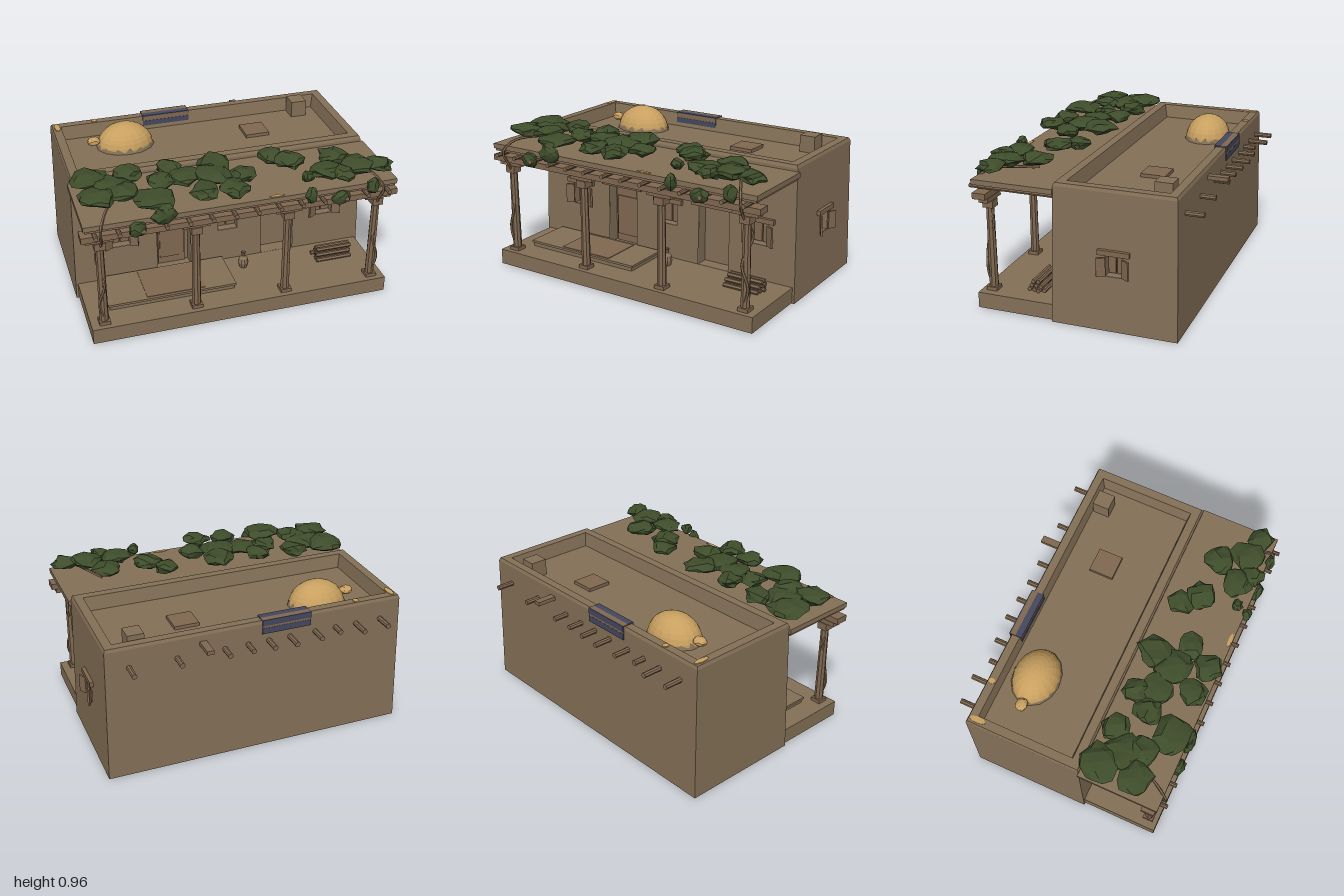
import * as THREE from 'three';
import { mergeVertices } from 'three/addons/utils/BufferGeometryUtils.js';

const mat = (name, color, flatShading = true) => {
  const m = new THREE.MeshStandardMaterial({ color, side: THREE.DoubleSide, flatShading });
  m.name = name;
  return m;
};

export function createModel() {
  const clay = mat('clay', 0x847057), wood = mat('wood', 0x806850);
  const straw = mat('straw', 0xc8a060), leaf = mat('leaf', 0x3e4d2b), cloth = mat('blue cloth', 0x45485f);
  const model = new THREE.Group();
  model.name = 'adobeHouse';

  let seed = 7;
  const rnd = () => (seed = (seed * 16807) % 2147483647) / 2147483647;
  const add = (name, geo, m, x = 0, y = 0, z = 0, parent = model) => {
    const mesh = new THREE.Mesh(geo, m);
    mesh.name = name;
    mesh.position.set(x, y, z);
    parent.add(mesh);
    return mesh;
  };
  // Box given by its extents on each axis
  const box = (name, m, x0, x1, y0, y1, z0, z1, parent) =>
    add(name, new THREE.BoxGeometry(x1 - x0, y1 - y0, z1 - z0), m, (x0 + x1) / 2, (y0 + y1) / 2, (z0 + z1) / 2, parent);
  // Ball with vertices pushed in and out at random
  const lump = (name, m, x, y, z, rx, ry, rz, rough = 0.4) => {
    let g = new THREE.IcosahedronGeometry(1, 1);
    g.deleteAttribute('normal');
    g.deleteAttribute('uv');
    g = mergeVertices(g, 1e-3);
    const p = g.attributes.position;
    for (let i = 0; i < p.count; i++) {
      const s = 1.08 - rough * rnd();
      p.setXYZ(i, p.getX(i) * s * rx, p.getY(i) * s * ry, p.getZ(i) * s * rz);
    }
    g.computeVertexNormals();
    return add(name, g, m, x, y, z);
  };

  // Leaning walls, with holes for the openings
  const H = 0.86;
  const halfX = y => 0.978 - 0.02 * y / H, front = y => 0.17 - 0.018 * y / H, back = y => -0.62 + 0.018 * y / H;
  const wall = (name, u0, u1, holes, map) => {
    const s = new THREE.Shape([[u0(0), 0], [u1(0), 0], [u1(H), H], [u0(H), H]].map(a => new THREE.Vector2(...a)));
    for (const [u, w, y0, y1] of holes) {
      s.holes.push(new THREE.Path([[u - w / 2, y0], [u - w / 2, y1], [u + w / 2, y1], [u + w / 2, y0]].map(a => new THREE.Vector2(...a))));
    }
    const g = new THREE.ShapeGeometry(s), p = g.attributes.position;
    for (let i = 0; i < p.count; i++) p.setXYZ(i, ...map(p.getX(i), p.getY(i)));
    g.computeVertexNormals();
    add(name, g, clay);
  };
  const windows = [[-0.667, 0.125, 0.335, 0.485, true], [0.048, 0.13, 0.335, 0.485, false], [0.718, 0.125, 0.335, 0.485, true]];
  const doors = [[-0.318, 0.225, 0.106, 0.52], [0.392, 0.225, 0.106, 0.51]];
  const sideWindow = [0.227, 0.108, 0.35, 0.485, true];
  wall('frontWall', y => -halfX(y), halfX, [...windows, ...doors], (u, y) => [u, y, front(y)]);
  wall('backWall', y => -halfX(y), halfX, [], (u, y) => [-u, y, back(y)]);
  wall('leftWall', y => -front(y), y => -back(y), [sideWindow], (u, y) => [halfX(y), y, -u]);
  wall('rightWall', back, front, [], (u, y) => [-halfX(y), y, u]);

  // Parapet and roof floor lofted from rectangular rings: half width, front, back, height
  const rings = [[0.958, 0.152, -0.602, 0.86], [0.95, 0.143, -0.594, 0.88], [0.895, 0.088, -0.542, 0.88], [0.878, 0.07, -0.525, 0.79]]
    .map(([x, f, b, y]) => [[-x, y, f], [x, y, f], [x, y, b], [-x, y, b]]);
  const pts = [];
  const quad = (a, b, c, d) => pts.push(...a, ...b, ...c, ...a, ...c, ...d);
  for (let r = 0; r < 3; r++) for (let i = 0; i < 4; i++) {
    const j = (i + 1) % 4;
    quad(rings[r][i], rings[r][j], rings[r + 1][j], rings[r + 1][i]);
  }
  quad(...rings[3]);
  const roof = new THREE.BufferGeometry();
  roof.setAttribute('position', new THREE.Float32BufferAttribute(pts, 3));
  roof.computeVertexNormals();
  add('parapetAndRoof', roof, clay);

  // Openings: recess without its outer face, lintel, panels, shutters
  const opening = (parent, name, u, w, y0, y1, depth) => {
    const g = new THREE.BoxGeometry(w, y1 - y0, depth);
    g.setIndex(Array.from(g.index.array).filter((_, i) => i < 24 || i >= 30));
    g.clearGroups();
    add(name + 'Recess', g, clay, u, (y0 + y1) / 2, -depth / 2, parent);
    box(name + 'Lintel', wood, u - w / 2 - 0.045, u + w / 2 + 0.045, y1, y1 + 0.032, -depth, 0.02, parent);
  };
  const addWindow = (parent, [u, w, y0, y1, shutters]) => {
    opening(parent, 'window', u, w, y0, y1, 0.07);
    for (const s of [-1, 1]) {
      box('windowPane', wood, u + s * w / 4 - w / 4 + 0.004, u + s * w / 4 + w / 4 - 0.004, y0 + 0.005, y1 - 0.01, -0.06, -0.045, parent);
      if (!shutters) continue;
      const hinge = new THREE.Group();
      hinge.name = 'shutter';
      hinge.position.set(u + s * w / 2, 0, 0.003);
      hinge.rotation.y = -s * 0.5;
      parent.add(hinge);
      const a = s * 0.055;
      box('shutterBoard', wood, Math.min(0, a), Math.max(0, a), y0 + 0.005, y1 - 0.015, 0, 0.012, hinge);
    }
  };
  const frontFace = new THREE.Group(), sideFace = new THREE.Group();
  frontFace.name = 'frontOpenings';
  sideFace.name = 'sideOpenings';
  frontFace.position.z = front(0.42);
  sideFace.position.x = halfX(0.42);
  sideFace.rotation.y = Math.PI / 2;
  model.add(frontFace, sideFace);
  windows.forEach(w => addWindow(frontFace, w));
  addWindow(sideFace, sideWindow);
  for (const [u, w, y0, y1] of doors) opening(frontFace, 'door', u, w, y0, y1, 0.08);
  box('doorLeaf', wood, -0.41, -0.23, 0.11, 0.5, -0.075, -0.06, frontFace);
  box('doorPanel', wood, -0.4, -0.24, 0.16, 0.435, -0.06, -0.052, frontFace);

  // Porch floor, sleeping platform, jug and firewood
  box('porchFloor', clay, -0.962, 0.962, 0.004, 0.105, 0.16, 0.67);
  box('platformBase', clay, -0.82, -0.01, 0.105, 0.13, 0.2, 0.5);
  box('platformTop', clay, -0.83, 0, 0.13, 0.145, 0.19, 0.508);
  box('platformMat', wood, -0.58, -0.2, 0.145, 0.149, 0.21, 0.49);
  const jugProfile = [[0, 0], [0.025, 0], [0.035, 0.035], [0.029, 0.065], [0.012, 0.085], [0.012, 0.1], [0.017, 0.112], [0.01, 0.112]];
  add('jug', new THREE.LatheGeometry(jugProfile.map(a => new THREE.Vector2(...a)), 10), clay, 0.118, 0.106, 0.285);
  for (let row = 0; row < 3; row++) for (let i = 0; i < 4 - row; i++) {
    const log = add('firewood', new THREE.CylinderGeometry(0.014, 0.014, 0.24, 6), wood, 0.725 + 0.02 * (rnd() - 0.5), 0.12 + row * 0.029, 0.285 + i * 0.032 + row * 0.016);
    log.rotation.z = Math.PI / 2;
  }

  // Porch posts with base, capital and corbel
  for (const x of [-0.877, -0.292, 0.292, 0.877]) {
    box('postBase', wood, x - 0.035, x + 0.035, 0.105, 0.128, 0.568, 0.638);
    add('postShaft', new THREE.CylinderGeometry(0.025, 0.029, 0.54, 8), wood, x, 0.39, 0.603);
    box('postCapital', wood, x - 0.034, x + 0.034, 0.648, 0.695, 0.569, 0.637);
    box('postCorbel', wood, x - 0.085, x + 0.085, 0.697, 0.725, 0.573, 0.633);
  }
  // Porch roof: beam, rafters and slab
  box('porchBeam', wood, -0.99, 0.99, 0.726, 0.764, 0.575, 0.66);
  for (let i = 0; i < 14; i++) {
    const r = add('rafter', new THREE.CylinderGeometry(0.014, 0.014, 0.56, 8), wood, -0.91 + i * 0.14, 0.78, 0.435);
    r.rotation.x = Math.PI / 2;
  }
  box('porchRoofLower', wood, -0.965, 0.965, 0.795, 0.812, 0.15, 0.665);
  box('porchRoof', clay, -0.975, 0.975, 0.81, 0.842, 0.15, 0.672);

  // Beam ends at the back: x, end z
  const ends = [[-0.825, -0.72], [-0.655, -0.73], [-0.515, -0.68], [-0.375, -0.71], [-0.205, -0.72], [-0.065, -0.71], [0.07, -0.7], [0.22, -0.7], [0.52, -0.7], [0.815, -0.715]];
  for (const [x, z] of ends) {
    const b = add('beamEnd', new THREE.CylinderGeometry(0.017, 0.017, -z - 0.56, 8), wood, x, 0.742, (z - 0.56) / 2);
    b.rotation.x = Math.PI / 2;
  }
  box('drainSpout', wood, 0.335, 0.38, 0.797, 0.822, -0.73, -0.57);

  // Roof objects: hatch, chimney, straw heap
  box('roofHatch', wood, 0.29, 0.45, 0.785, 0.812, -0.36, -0.2);
  box('chimney', clay, 0.69, 0.795, 0.785, 0.9, -0.52, -0.41);
  const dome = add('strawHeap', new THREE.SphereGeometry(1, 18, 8, 0, Math.PI * 2, 0, Math.PI / 2), straw, -0.505, 0.79, -0.35);
  dome.scale.set(0.185, 0.157, 0.147);
  const skirt = add('heapSkirt', new THREE.CylinderGeometry(0.97, 1.04, 0.035, 14), clay, -0.505, 0.806, -0.35);
  skirt.scale.set(0.185, 1, 0.147);
  lump('strawBundle', straw, -0.715, 0.845, -0.345, 0.045, 0.028, 0.038, 0.15);

  // Straw patches on the ledges
  for (const [x, z, w, d, y] of [[-0.92, -0.535, 0.04, 0.11, 0.882], [-0.665, -0.57, 0.04, 0.045, 0.882], [-0.225, -0.582, 0.08, 0.02, 0.882], [0.2, 0.655, 0.1, 0.025, 0.844]]) {
    add('strawPatch', new THREE.CylinderGeometry(0.5, 0.5, 0.006, 7), straw, x, y, z).scale.set(w, 1, d);
  }

  // Striped cloth over the back parapet
  const strip = (m, y0, y1, z0, z1) => box('clothStripe', m, -0.34, -0.02, y0, y1, z0, z1);
  strip(wood, 0.88, 0.887, -0.607, -0.572);
  strip(cloth, 0.88, 0.887, -0.572, -0.53);
  strip(wood, 0.85, 0.88, -0.537, -0.53);
  strip(cloth, 0.815, 0.85, -0.537, -0.528);
  strip(cloth, 0.848, 0.887, -0.613, -0.605);
  strip(wood, 0.835, 0.848, -0.612, -0.604);
  strip(cloth, 0.795, 0.835, -0.613, -0.605);

  // Vine foliage over the porch roof: x, z, radius
  const clumps = [[-0.86, 0.25, 0.14], [-0.62, 0.24, 0.1], [-0.74, 0.35, 0.13], [-0.86, 0.48, 0.12], [-0.7, 0.45, 0.11], [-0.52, 0.58, 0.145],
    [-0.36, 0.25, 0.09], [-0.45, 0.38, 0.1], [-0.3, 0.38, 0.11], [-0.08, 0.27, 0.13], [-0.13, 0.41, 0.13], [0.05, 0.45, 0.1],
    [-0.23, 0.58, 0.1], [-0.05, 0.61, 0.1], [0.28, 0.28, 0.09], [0.38, 0.38, 0.11], [0.65, 0.4, 0.11], [0.55, 0.55, 0.1],
    [0.74, 0.55, 0.12], [0.89, 0.58, 0.09], [0.64, 0.62, 0.08], [0.41, 0.61, 0.04]];
  for (const [x, z, r] of clumps) lump('foliage', leaf, x, 0.905 + 0.01 * rnd(), z, r, 0.042, r);
  // Hanging clumps on the front edge: x, y, width, height
  for (const [x, y, w, h] of [[-0.66, 0.785, 0.055, 0.055], [-0.5, 0.845, 0.08, 0.065], [0.41, 0.825, 0.04, 0.055], [0.605, 0.78, 0.065, 0.048], [0.81, 0.825, 0.045, 0.06]]) {
    lump('hangingFoliage', leaf, x, y, 0.682, w, h, 0.035, 0.3);
  }
  // Vine stems climbing the end posts and resting on the porch roof
  for (const s of [-1, 1]) {
    const path = [[0.86, 0.11, 0.62], [0.905, 0.25, 0.625], [0.865, 0.4, 0.635], [0.9, 0.56, 0.57], [0.87, 0.7, 0.645], [0.88, 0.8, 0.69], [0.84, 0.87, 0.62], [0.7, 0.87, 0.35]];
    const curve = new THREE.CatmullRomCurve3(path.map(([x, y, z]) => new THREE.Vector3(s * x, y, z)));
    add('vineStem', new THREE.TubeGeometry(curve, 32, 0.009, 5), wood);
  }
  return model;
}
